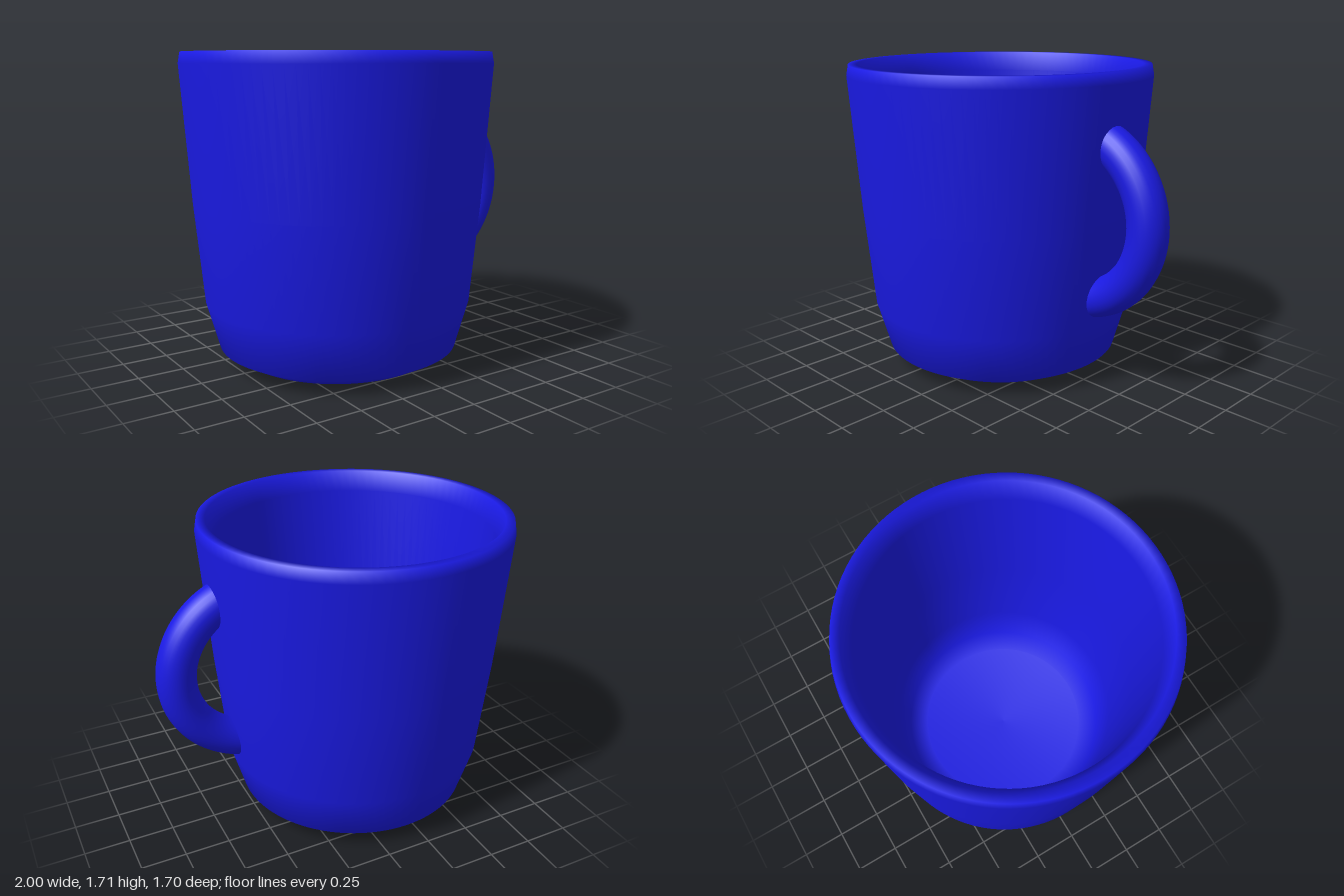
import * as THREE from 'three';

const CENTER_X = -0.153;

// Turned cup: outside wall from base to lip, then back down the inside to the floor
function createCup(material) {
  const profile = [
    [0, 0], [0.553, 0.027], [0.67, 0.09], [0.743, 0.35], [0.795, 0.9],
    [0.848, 1.65], [0.837, 1.71], [0.79, 1.71], [0.748, 1.6],
    [0.7, 0.9], [0.65, 0.38], [0.595, 0.17], [0.49, 0.125], [0, 0.1],
  ].map(([r, y]) => new THREE.Vector2(r, y));
  const cup = new THREE.Mesh(new THREE.LatheGeometry(profile, 96), material);
  cup.name = 'cup';
  cup.position.x = CENTER_X;
  return cup;
}

// Round handle: a torus arc whose ends are pressed flat inside the cup wall
function createHandle(material) {
  const arc = 2.9;
  const geometry = new THREE.TorusGeometry(0.45, 0.107, 24, 64, arc);
  geometry.rotateZ(-arc / 2);
  geometry.translate(0.443, 0.939, 0);
  const p = geometry.attributes.position;
  for (let i = 0; i < p.count; i++) {
    const midWall = 0.552 + 0.081 * (p.getY(i) - 0.35);
    p.setX(i, Math.max(p.getX(i), midWall));
  }
  const handle = new THREE.Mesh(geometry, material);
  handle.name = 'handle';
  return handle;
}

export function createModel() {
  const blue = new THREE.MeshStandardMaterial({ color: 0x1a1ae4 });
  blue.name = 'blue glaze';
  const mug = new THREE.Group();
  mug.name = 'mug';
  mug.add(createCup(blue), createHandle(blue));
  return mug;
}
